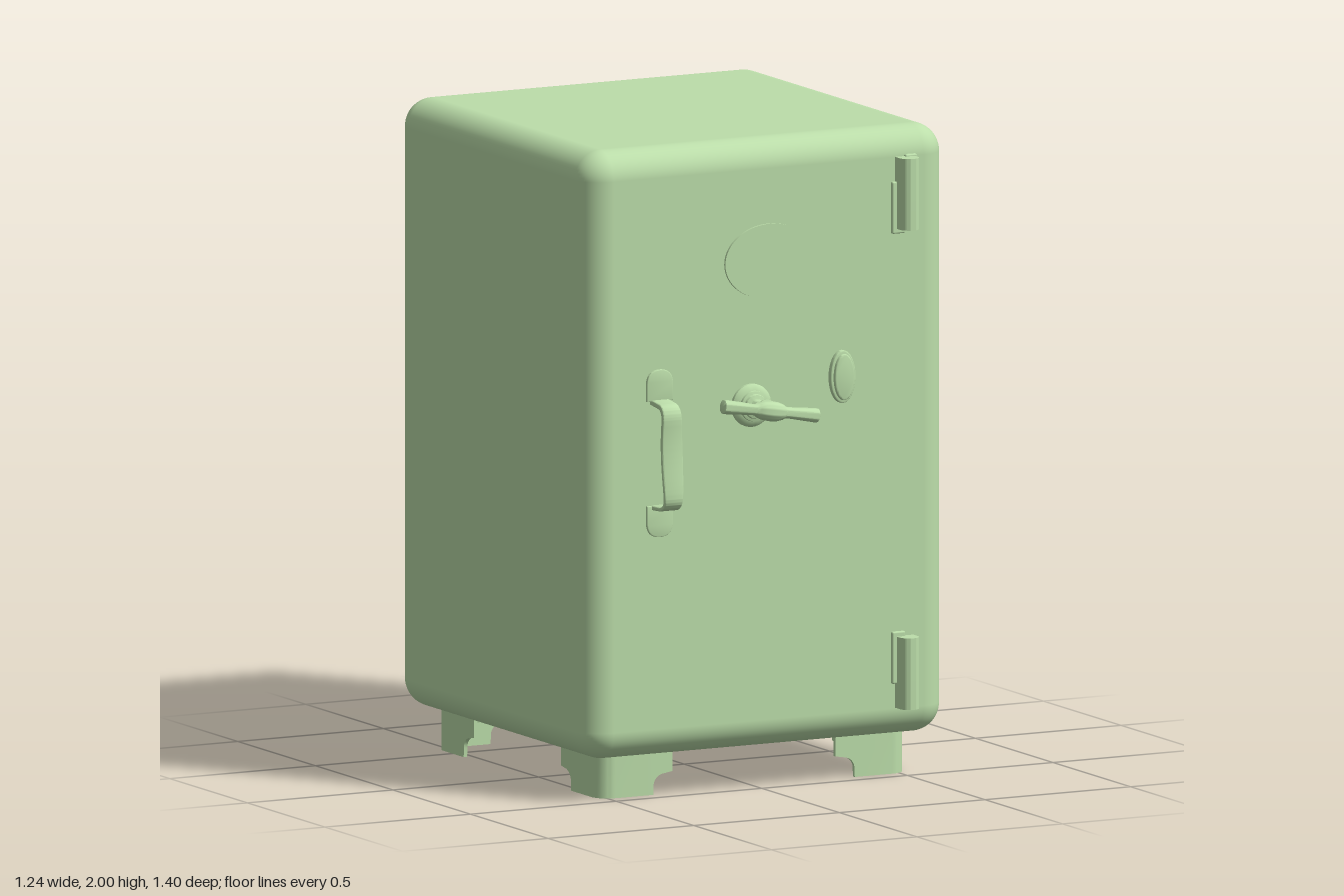
import * as THREE from 'three';
import { toCreasedNormals } from 'three/addons/utils/BufferGeometryUtils.js';
import { RoundedBoxGeometry } from 'three/addons/geometries/RoundedBoxGeometry.js';

const DOOR = 0.545; // z of the door face
const material = new THREE.MeshStandardMaterial({ color: 0xbcdeaa });

function part(parent, name, geometry, x = 0, y = 0, z = 0) {
  const mesh = new THREE.Mesh(geometry, material);
  mesh.name = name;
  mesh.position.set(x, y, z);
  parent.add(mesh);
  return mesh;
}

function extrude(shape, depth, bevel = 0) {
  const geometry = new THREE.ExtrudeGeometry(shape, {
    depth: depth - 2 * bevel, curveSegments: 32, bevelEnabled: bevel > 0,
    bevelSize: bevel, bevelOffset: -bevel, bevelThickness: bevel, bevelSegments: 3,
  });
  geometry.translate(0, 0, bevel);
  return toCreasedNormals(geometry, 0.6);
}

// Lathe whose axis points out of the door (+z); points are [radius, height]
function turned(points) {
  const geometry = new THREE.LatheGeometry(points.map(p => new THREE.Vector2(...p)), 40);
  return toCreasedNormals(geometry, 0.6).rotateX(Math.PI / 2);
}

function ellipse(rx, ry) {
  return new THREE.Shape().absellipse(0, 0, rx, ry, 0, Math.PI * 2);
}

// L-shaped sheet bracket with its outer corner at the origin, arms along -x and -z
function footGeometry() {
  const R = 0.055, T = 0.012, top = 0.15;
  const arm = [[0.25, 0.068], [0.235, 0.066]]; // [distance from corner, lower edge]
  for (let i = 0; i <= 6; i++) {
    const a = (i / 6) * Math.PI / 2;
    arm.push([0.225 - 0.04 * Math.sin(a), 0.028 + 0.036 * Math.cos(a)]);
  }
  arm.push([0.184, 0]);
  const columns = arm.map(([d, b]) => [-d, 0, 0, 1, b]); // x, z, normal x, normal z, lower edge
  for (let i = 0; i <= 10; i++) {
    const a = (i / 10) * Math.PI / 2, s = Math.sin(a), c = Math.cos(a);
    columns.push([-R + R * s, -R + R * c, s, c, 0]);
  }
  for (const [d, b] of arm.slice().reverse()) columns.push([0, -d, 1, 0, b]);

  const pos = [], index = [];
  for (const [x, z, nx, nz, b] of columns) {
    const xi = x - nx * T, zi = z - nz * T;
    pos.push(x, b, z, x, top, z, xi, top, zi, xi, b, zi);
  }
  const last = (columns.length - 1) * 4;
  for (let i = 0; i < last; i += 4) {
    for (let k = 0; k < 4; k++) {
      const n = (k + 1) % 4;
      index.push(i + k, i + 4 + k, i + 4 + n, i + k, i + 4 + n, i + n);
    }
  }
  index.push(0, 1, 2, 0, 2, 3, last, last + 2, last + 1, last, last + 3, last + 2);
  const geometry = new THREE.BufferGeometry();
  geometry.setAttribute('position', new THREE.Float32BufferAttribute(pos, 3));
  geometry.setIndex(index);
  return toCreasedNormals(geometry, 0.6);
}

function addFeet(model) {
  const geometry = footGeometry();
  const tab = new THREE.CylinderGeometry(0.022, 0.022, 0.02, 20);
  const corners = [[0.53, 0.45, 0], [0.53, -0.61, 1], [-0.53, -0.61, 2], [-0.53, 0.45, 3]];
  for (const [x, z, turn] of corners) {
    const foot = new THREE.Group();
    foot.name = 'foot';
    foot.position.set(x, 0, z);
    foot.rotation.y = turn * Math.PI / 2;
    part(foot, 'footBracket', geometry);
    part(foot, 'footTab', tab, -0.225, 0.123, -0.025);
    part(foot, 'footTab', tab, -0.025, 0.123, -0.225);
    model.add(foot);
  }
}

function addPullHandle(model) {
  const handle = new THREE.Group();
  handle.name = 'pullHandle';
  handle.position.set(-0.378, 1.07, DOOR);

  // Mounting pads with a rounded outer end
  const pad = new THREE.Shape();
  pad.moveTo(-0.045, 0);
  pad.lineTo(0.045, 0);
  pad.lineTo(0.045, 0.055);
  pad.quadraticCurveTo(0.042, 0.097, 0, 0.097);
  pad.quadraticCurveTo(-0.042, 0.097, -0.045, 0.055);
  const padGeometry = extrude(pad, 0.011, 0.003);
  part(handle, 'upperPad', padGeometry, 0, 0.158, 0);
  part(handle, 'lowerPad', padGeometry, 0, -0.163, 0).rotation.z = Math.PI;

  // Strap: side outline (distance from door, height), extruded across its width
  const strap = new THREE.Shape();
  strap.moveTo(-0.005, -0.176);
  strap.lineTo(0.055, -0.172);
  strap.quadraticCurveTo(0.1, -0.168, 0.102, -0.13);
  strap.bezierCurveTo(0.102, -0.08, 0.086, 0, 0.092, 0.1);
  strap.quadraticCurveTo(0.095, 0.153, 0.055, 0.158);
  strap.lineTo(-0.005, 0.164);
  strap.lineTo(-0.005, 0.148);
  strap.lineTo(0.05, 0.142);
  strap.quadraticCurveTo(0.078, 0.138, 0.076, 0.1);
  strap.bezierCurveTo(0.07, 0, 0.088, -0.08, 0.088, -0.13);
  strap.quadraticCurveTo(0.087, -0.156, 0.055, -0.16);
  strap.lineTo(-0.005, -0.162);
  const geometry = extrude(strap, 0.07, 0.004).translate(0, 0, -0.035).rotateY(-Math.PI / 2);
  const p = geometry.attributes.position;
  for (let i = 0; i < p.count; i++) { // slightly wider in the middle
    p.setX(i, p.getX(i) * (1 - 0.16 * Math.min(1, Math.abs(p.getY(i)) / 0.16) ** 2));
  }
  part(handle, 'strap', geometry);
  model.add(handle);
}

function addTurnHandle(model) {
  const handle = new THREE.Group();
  handle.name = 'turnHandle';
  handle.position.set(-0.063, 1.19, DOOR);
  part(handle, 'rosetteAndStem', turned([
    [0.066, -0.005], [0.066, 0.01], [0.06, 0.017], [0.047, 0.022], [0.046, 0.03],
    [0.038, 0.032], [0.036, 0.04], [0.024, 0.044], [0.021, 0.055], [0.021, 0.08],
    [0.03, 0.092], [0.032, 0.105], [0, 0.12],
  ]));

  // Crossbar with a swollen hub, turned about its own length
  const half = [[0.021, 0.163], [0.022, 0.155], [0.017, 0.06], [0.018, 0.052], [0.024, 0.042], [0.029, 0.025], [0.031, 0]];
  const profile = [[0, 0.165], [0.018, 0.165], ...half];
  const full = [...profile.map(([r, h]) => [r, -h]), ...profile.slice(0, -1).reverse()];
  const bar = new THREE.LatheGeometry(full.map(q => new THREE.Vector2(...q)), 28);
  const mesh = part(handle, 'crossbar', toCreasedNormals(bar, 0.7), 0, 0, 0.127);
  mesh.rotation.z = Math.PI / 2 - 0.16;
  model.add(handle);
}

function addHinge(model, y, flip) {
  const hinge = new THREE.Group();
  hinge.name = flip > 0 ? 'upperHinge' : 'lowerHinge';
  hinge.position.set(0.465, y, DOOR);

  // D-shaped knuckle standing against the door
  const knuckle = new THREE.Shape();
  knuckle.moveTo(-0.031, 0.01);
  knuckle.lineTo(0.031, 0.01);
  knuckle.lineTo(0.031, -0.03);
  knuckle.absarc(0, -0.03, 0.031, 0, -Math.PI, true);
  const geometry = extrude(knuckle, 0.22).translate(0, 0, -0.11).rotateX(-Math.PI / 2);
  part(hinge, 'knuckle', geometry);

  // Door leaf and frame leaf
  part(hinge, 'doorLeaf', new RoundedBoxGeometry(0.045, 0.16, 0.02, 2, 0.005), -0.023, -0.045 * flip, 0.001);
  part(hinge, 'frameLeaf', new RoundedBoxGeometry(0.04, 0.072, 0.02, 2, 0.005), 0.02, 0.08 * flip, 0.001);
  model.add(hinge);
}

export function createModel() {
  const model = new THREE.Group();
  model.name = 'safe';

  part(model, 'cabinet', new RoundedBoxGeometry(1.24, 1.87, 1.247, 8, 0.088), 0, 1.065, -0.0785);
  addFeet(model);

  // Oval door plate and keyhole cover
  part(model, 'ovalPlate', extrude(ellipse(0.153, 0.115), 0.013), 0, 1.628, DOOR - 0.005);
  const cover = new THREE.Group();
  cover.name = 'keyholeCover';
  cover.position.set(0.248, 1.254, DOOR);
  part(cover, 'coverRim', extrude(ellipse(0.043, 0.081), 0.021, 0.004), 0, 0, -0.005);
  part(cover, 'coverFlap', extrude(ellipse(0.034, 0.071), 0.032, 0.005), 0, 0, -0.005);
  model.add(cover);

  addPullHandle(model);
  addTurnHandle(model);
  addHinge(model, 1.803, 1);
  addHinge(model, 0.33, -1);
  return model;
}
